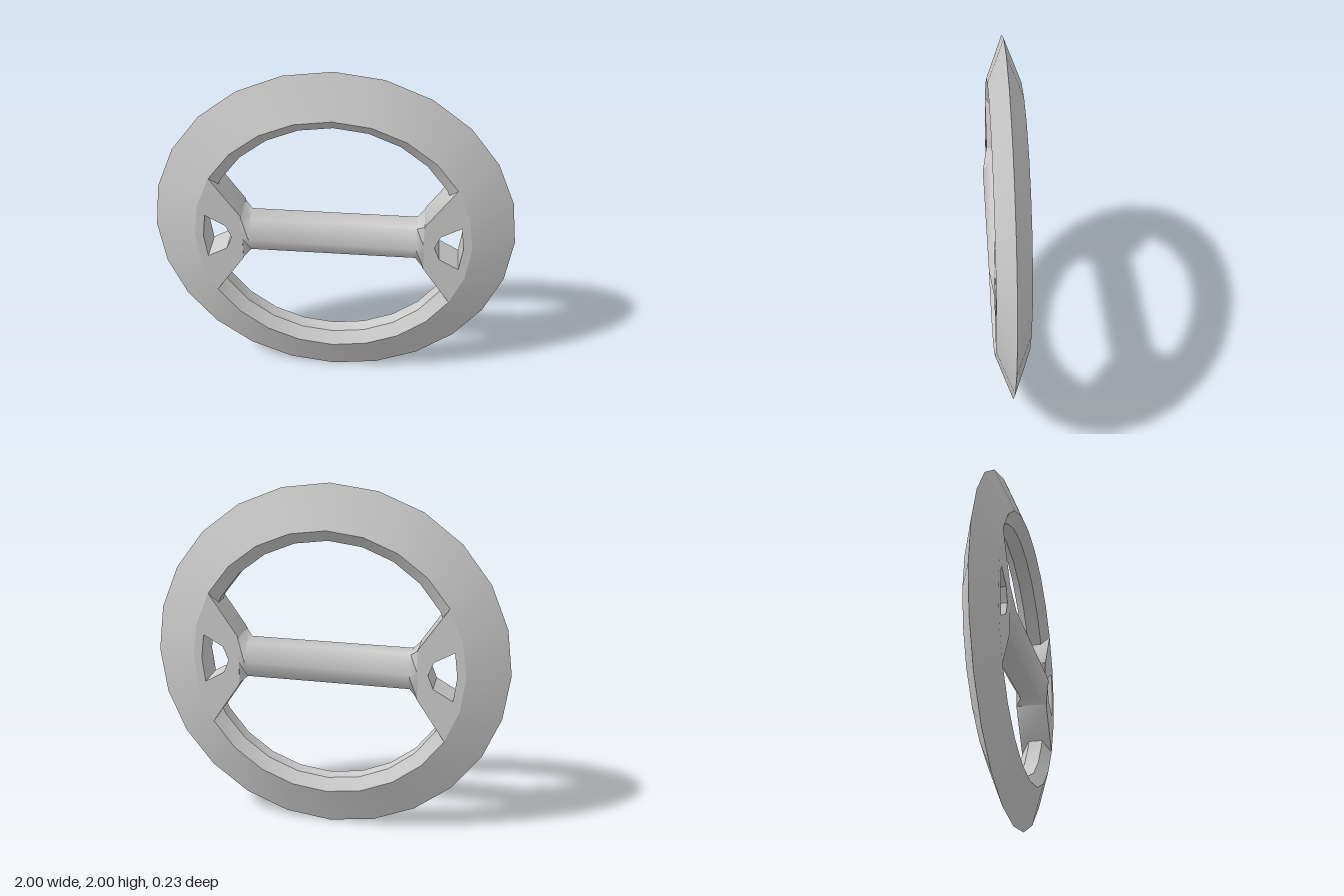
import * as THREE from 'three';
import { toCreasedNormals } from 'three/addons/utils/BufferGeometryUtils.js';

const STEP = Math.PI / 12; // the rim has 24 sides
const RIM_INNER = 0.765, HALF = 0.09;
const material = new THREE.MeshStandardMaterial({ color: 0xcccccc });

const points = list => list.map(([a, b]) => new THREE.Vector2(a, b));

function part(name, geometry, crease = 0.6) {
  const mesh = new THREE.Mesh(toCreasedNormals(geometry, crease), material);
  mesh.name = name;
  return mesh;
}

// Turned around z: profile of [radius, depth]
function turned(profile, segments, start, length) {
  return new THREE.LatheGeometry(points(profile), segments, start, length).rotateX(Math.PI / 2);
}

// Plate joining the rim to the grip, with a six-sided opening
function webGeometry(side) {
  const outline = [[0.5, -0.14]];
  for (let i = -2; i <= 2; i++) {
    outline.push([RIM_INNER * Math.cos(i * STEP), RIM_INNER * Math.sin(i * STEP)]);
  }
  outline.push([0.5, 0.14]);
  const hole = [[0.56, 0], [0.59, 0.077], [0.7, 0.14], [0.717, 0], [0.7, -0.14], [0.59, -0.077]];
  const mirror = list => points(list.map(([x, y]) => [x * side, y]));
  const shape = new THREE.Shape(mirror(outline));
  shape.holes.push(new THREE.Path(mirror(hole)));
  return new THREE.ExtrudeGeometry(shape, { depth: 2 * HALF, bevelEnabled: false }).translate(0, 0, -HALF);
}

// Hexagonal bar whose ends flare to the plate section; sections are [y, z]
function gripGeometry() {
  const hex = [], flare = [];
  for (let j = 0; j < 6; j++) {
    const t = j * Math.PI / 3;
    hex.push([0.115 * Math.sin(t), 0.115 * Math.cos(t)]);
    flare.push([0.14 * Math.round(Math.sin(t)), HALF * Math.sign(Math.cos(t))]);
  }
  const sections = [[-0.505, flare], [-0.46, hex], [0.46, hex], [0.505, flare]];
  const positions = [], index = [];
  sections.forEach(([x, ring], i) => ring.forEach(([y, z], j) => {
    positions.push(x, y, z);
    if (i === 3) return;
    const a = i * 6 + j, b = i * 6 + (j + 1) % 6;
    index.push(a, a + 6, b, b, a + 6, b + 6);
  }));
  const geometry = new THREE.BufferGeometry();
  geometry.setAttribute('position', new THREE.Float32BufferAttribute(positions, 3));
  geometry.setIndex(index);
  return geometry;
}

export function createModel() {
  const model = new THREE.Group();
  model.name = 'ringHandle';

  // Sharp-edged outer rim
  model.add(part('outerRim', turned([[RIM_INNER, -HALF], [1, 0], [RIM_INNER, HALF]], 24, 0, Math.PI * 2)));

  // Raised inner lip of the two openings
  const lip = [[RIM_INNER, HALF], [0.7, 0.04], [0.7, -0.04], [RIM_INNER, -HALF]];
  model.add(part('lowerInnerLip', turned(lip, 10, -5 * STEP, 10 * STEP)));
  model.add(part('upperInnerLip', turned(lip, 10, 7 * STEP, 10 * STEP)));

  // Side plates and grip
  model.add(part('leftWeb', webGeometry(1)));
  model.add(part('rightWeb', webGeometry(-1)));
  model.add(part('gripBar', gripGeometry(), 1.1));

  model.children.forEach(mesh => { mesh.position.y = 1; });
  return model;
}
